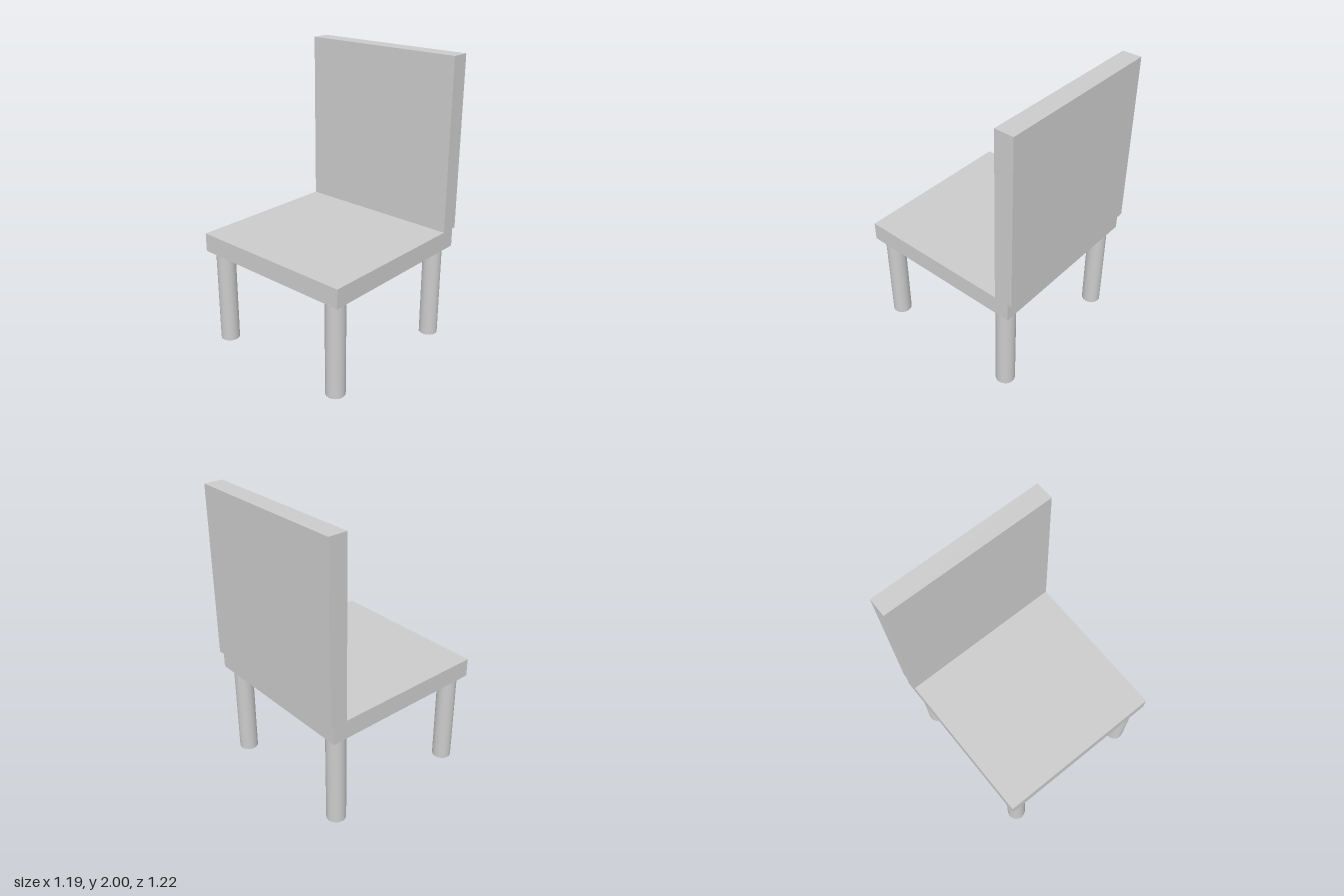
import * as THREE from 'three';

export function createModel() {
  const chair = new THREE.Group();
  chair.name = 'chair';
  const material = new THREE.MeshStandardMaterial({ color: 0xcccccc });

  const add = (name, geometry, x, y, z) => {
    const mesh = new THREE.Mesh(geometry, material);
    mesh.name = name;
    mesh.position.set(x, y, z);
    chair.add(mesh);
  };

  // Square seat slab
  const width = 1.194, thickness = 0.13, legHeight = 0.675;
  const seatTop = legHeight + thickness;
  add('seat', new THREE.BoxGeometry(width, thickness, width), 0, legHeight + thickness / 2, 0.014);

  // Upright back panel, overhanging the rear edge of the seat slightly
  const backHeight = 2 - seatTop;
  add('backrest', new THREE.BoxGeometry(width, backHeight, thickness), 0, seatTop + backHeight / 2, -0.546);

  // Four round legs
  const leg = new THREE.CylinderGeometry(0.066, 0.066, legHeight, 16);
  for (const [end, z] of [['front', 0.521], ['back', -0.491]]) {
    for (const [side, x] of [['Left', 0.504], ['Right', -0.504]]) {
      add(`${end}${side}Leg`, leg, x, legHeight / 2, z);
    }
  }
  return chair;
}
